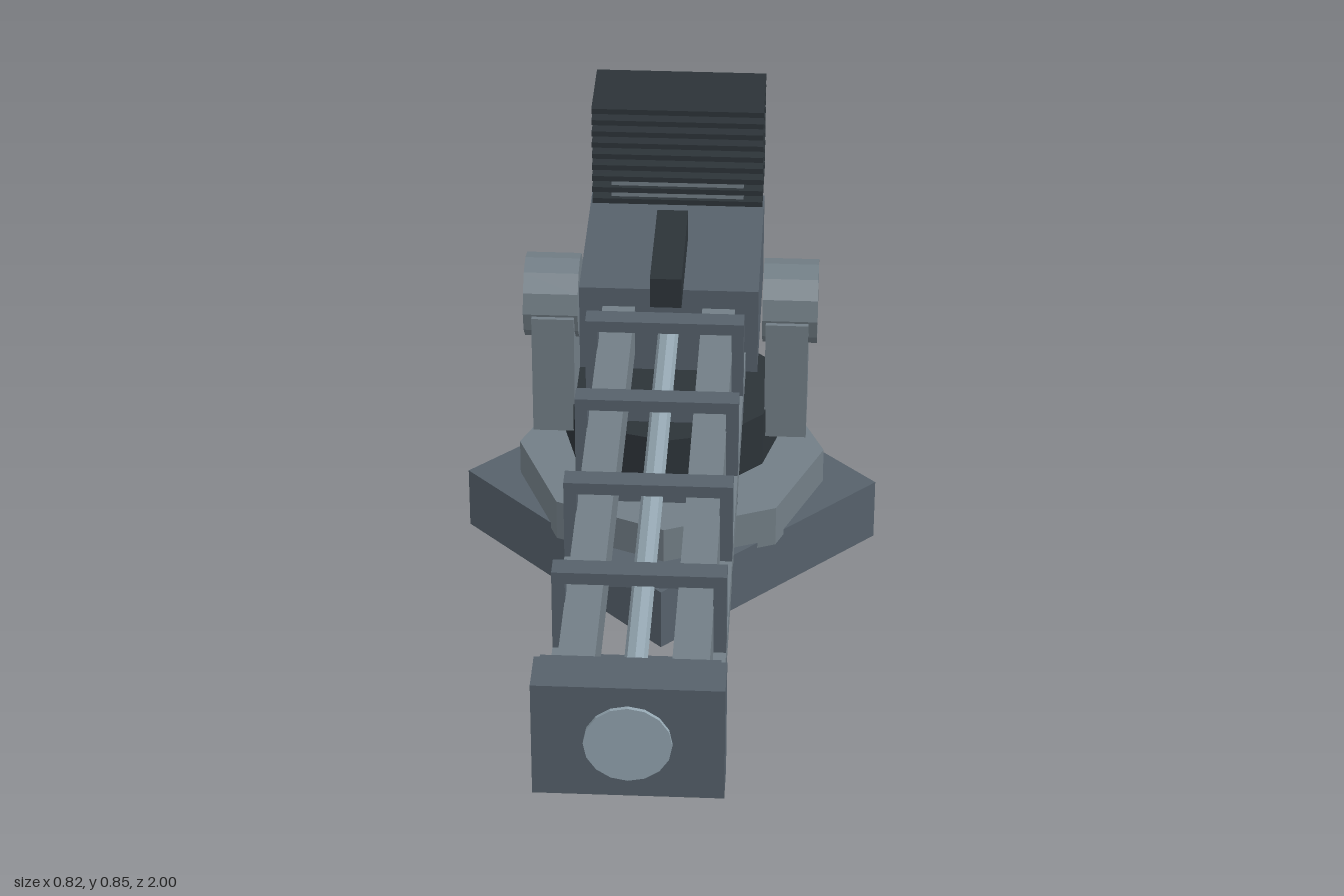
import * as THREE from 'three';

const paint = (color) => new THREE.MeshStandardMaterial({ color, flatShading: true });

export function createModel() {
  const model = new THREE.Group();
  const steel = paint(0x56616b);
  const light = paint(0x727e86);
  const dark = paint(0x2c3338);
  const pale = paint(0x93a5b0);
  const pivotZ = -0.455;
  const axisY = 0.55;

  function add(name, geometry, material, x, y, z) {
    const mesh = new THREE.Mesh(geometry, material);
    mesh.name = name;
    mesh.position.set(x, y, z);
    model.add(mesh);
    return mesh;
  }

  // box given by its low and high limits on each axis
  function box(name, material, [x0, x1], [y0, y1], [z0, z1]) {
    return add(name, new THREE.BoxGeometry(x1 - x0, y1 - y0, z1 - z0), material,
      (x0 + x1) / 2, (y0 + y1) / 2, (z0 + z1) / 2);
  }

  // upright prism with a corner facing the front
  function prism(name, material, radius, sides, y0, y1) {
    return add(name, new THREE.CylinderGeometry(radius, radius, y1 - y0, sides), material,
      0, (y0 + y1) / 2, pivotZ);
  }

  // base, step and turntable
  prism('base', steel, 0.412, 4, 0, 0.13);
  prism('baseStep', light, 0.306, 8, 0.118, 0.204);
  prism('turntable', dark, 0.214, 12, 0.236, 0.352);

  // yoke and rails, mirrored
  for (const side of [-1, 1]) {
    const span = (a, b) => (side > 0 ? [a, b] : [-b, -a]);
    box('yokeArm', light, span(0.187, 0.27), [0.29, 0.545], [-0.545, -0.365]);
    const trunnion = add('trunnion', new THREE.CylinderGeometry(0.082, 0.082, 0.107, 12),
      light, side * 0.2335, axisY, pivotZ);
    trunnion.rotation.z = Math.PI / 2;
    box('upperRail', light, span(0.065, 0.128), [0.5, 0.6], [-0.33, 0.92]);
    box('lowerRail', light, span(0.1, 0.15), [0.45, 0.503], [-0.33, 0.757]);
  }

  // housing, rear block and sight
  box('housing', steel, [-0.173, 0.173], [0.46, 0.64], [-0.713, -0.33]);
  box('rearBlock', light, [-0.132, 0.132], [0.412, 0.69], [-1, -0.675]);
  box('sight', dark, [-0.03, 0.03], [0.668, 0.73], [-0.482, -0.215]);

  // cooling fins
  for (let i = 0; i < 9; i++) {
    const y = 0.64 + i * 0.025;
    box('coolingFin', dark, [-0.17, 0.17], [y, y + 0.011], [-0.835, -0.665]);
  }

  // barrel core
  const core = add('barrelCore', new THREE.CylinderGeometry(0.02, 0.02, 1.25, 8), pale, 0, axisY, 0.295);
  core.rotation.x = Math.PI / 2;

  // hollow frames around the rails
  const outline = new THREE.Shape([
    [-0.15, -0.11], [0.15, -0.11], [0.15, 0.11], [-0.15, 0.11],
  ].map(([x, y]) => new THREE.Vector2(x, y)));
  outline.holes.push(new THREE.Path([
    [-0.127, -0.087], [-0.127, 0.087], [0.127, 0.087], [0.127, -0.087],
  ].map(([x, y]) => new THREE.Vector2(x, y))));
  const frame = new THREE.ExtrudeGeometry(outline, { depth: 0.04, bevelEnabled: false });
  for (let i = 0; i < 5; i++) add('barrelFrame', frame, steel, 0, axisY, -0.21 + i * 0.279);

  // muzzle block with round face
  box('muzzle', steel, [-0.16, 0.16], [0.44, 0.66], [0.912, 0.993]);
  const face = add('muzzleFace', new THREE.CylinderGeometry(0.074, 0.074, 0.03, 16), pale, 0, axisY, 0.985);
  face.rotation.x = Math.PI / 2;

  return model;
}
